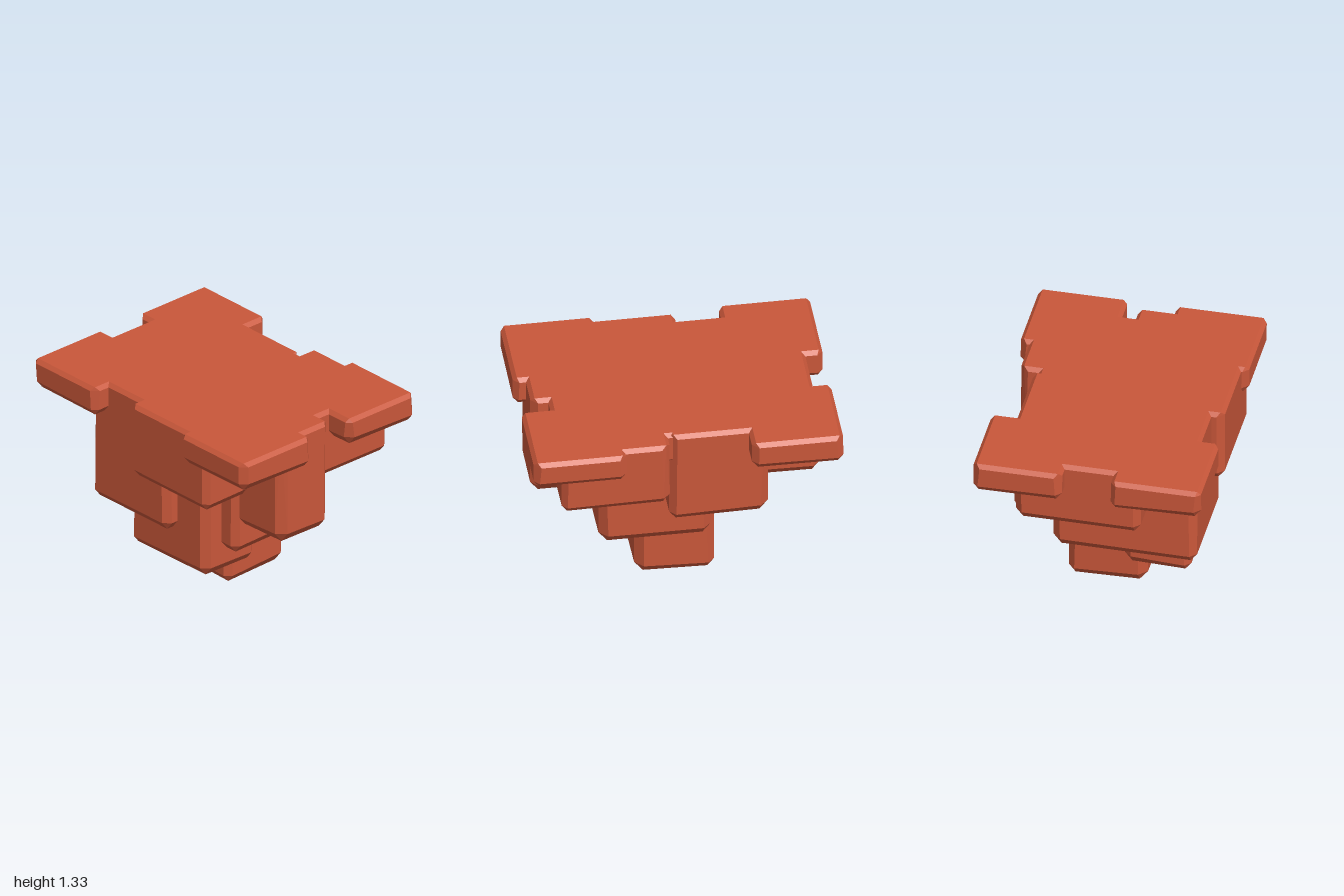
import * as THREE from 'three';
import { ConvexGeometry } from 'three/addons/geometries/ConvexGeometry.js';

const TOP = 1.325;

// Small seeded generator for the uneven, hand-cut look
function seeded(seed) {
  let s = seed;
  return () => {
    s = (s * 16807) % 2147483647;
    return s / 2147483647;
  };
}

// Block with chamfered edges: each corner becomes three points, slightly shifted
function rockBlock([x0, x1], [y0, y1], [z0, z1], bevel, rand) {
  const points = [];
  const topBevel = y1 === TOP ? 0.025 : bevel;
  for (const sx of [0, 1]) for (const sy of [0, 1]) for (const sz of [0, 1]) {
    const b = bevel * (0.75 + 0.5 * rand());
    const h = sy ? topBevel : b * 1.25;
    const x = sx ? x1 : x0, y = sy ? y1 : y0, z = sz ? z1 : z0;
    const ix = x + (sx ? -b : b), iy = y + (sy ? -h : h), iz = z + (sz ? -b : b);
    const inset = sy ? topBevel : b;
    points.push(
      new THREE.Vector3(x, iy, iz),
      new THREE.Vector3(ix, iy, z),
      new THREE.Vector3(x + (sx ? -inset : inset), y, z + (sz ? -inset : inset))
    );
  }
  return new ConvexGeometry(points);
}

export function createModel() {
  const group = new THREE.Group();
  group.name = 'floatingRockPlatform';
  const rock = new THREE.MeshStandardMaterial({ color: 0xc9573a, flatShading: true });
  rock.name = 'terracotta rock';
  const rand = seeded(4217);

  // name, x range, y range, z range, bevel
  const blocks = [
    // Flat corner slabs of the top
    ['slabFrontRight', [-1, -0.41], [1.12, TOP], [0.15, 0.74], 0.04],
    ['slabFrontLeft', [0.4, 1], [1.12, TOP], [0.15, 0.745], 0.04],
    ['slabBackRight', [-1, -0.41], [1.12, TOP], [-0.75, -0.17], 0.04],
    ['slabBackLeft', [0.4, 1], [1.13, TOP], [-0.75, -0.17], 0.04],
    // Middle of the platform
    ['platformCore', [-0.86, 0.8], [1.1, TOP], [-0.56, 0.6], 0.02],
    // Hanging blocks below the platform
    ['frontRightBlock', [-0.58, 0.14], [0.46, TOP], [-0.32, 0.62], 0.045],
    ['frontLeftBlock', [-0.12, 0.6], [0.81, TOP], [0, 0.7], 0.045],
    ['rightBlock', [-0.885, -0.3], [0.86, TOP], [-0.5, 0.32], 0.045],
    ['leftBlock', [0.3, 0.92], [0.57, TOP], [-0.08, 0.345], 0.045],
    ['backLeftBlock', [0.11, 0.81], [0.86, TOP], [-0.685, 0.05], 0.045],
    ['backRightBlock', [-0.54, 0.1], [0.64, TOP], [-0.585, 0.1], 0.045],
    // Lower steps
    ['lowerFrontBlock', [-0.315, 0.4], [0.195, 0.9], [0.08, 0.525], 0.05],
    ['lowerLeftBlock', [-0.2, 0.53], [0.365, 0.95], [-0.42, 0.385], 0.05],
    ['bottomBlock', [-0.235, 0.28], [0, 0.6], [-0.295, 0.22], 0.05],
  ];

  for (const [name, x, y, z, bevel] of blocks) {
    const mesh = new THREE.Mesh(rockBlock(x, y, z, bevel, rand), rock);
    mesh.name = name;
    group.add(mesh);
  }
  return group;
}
